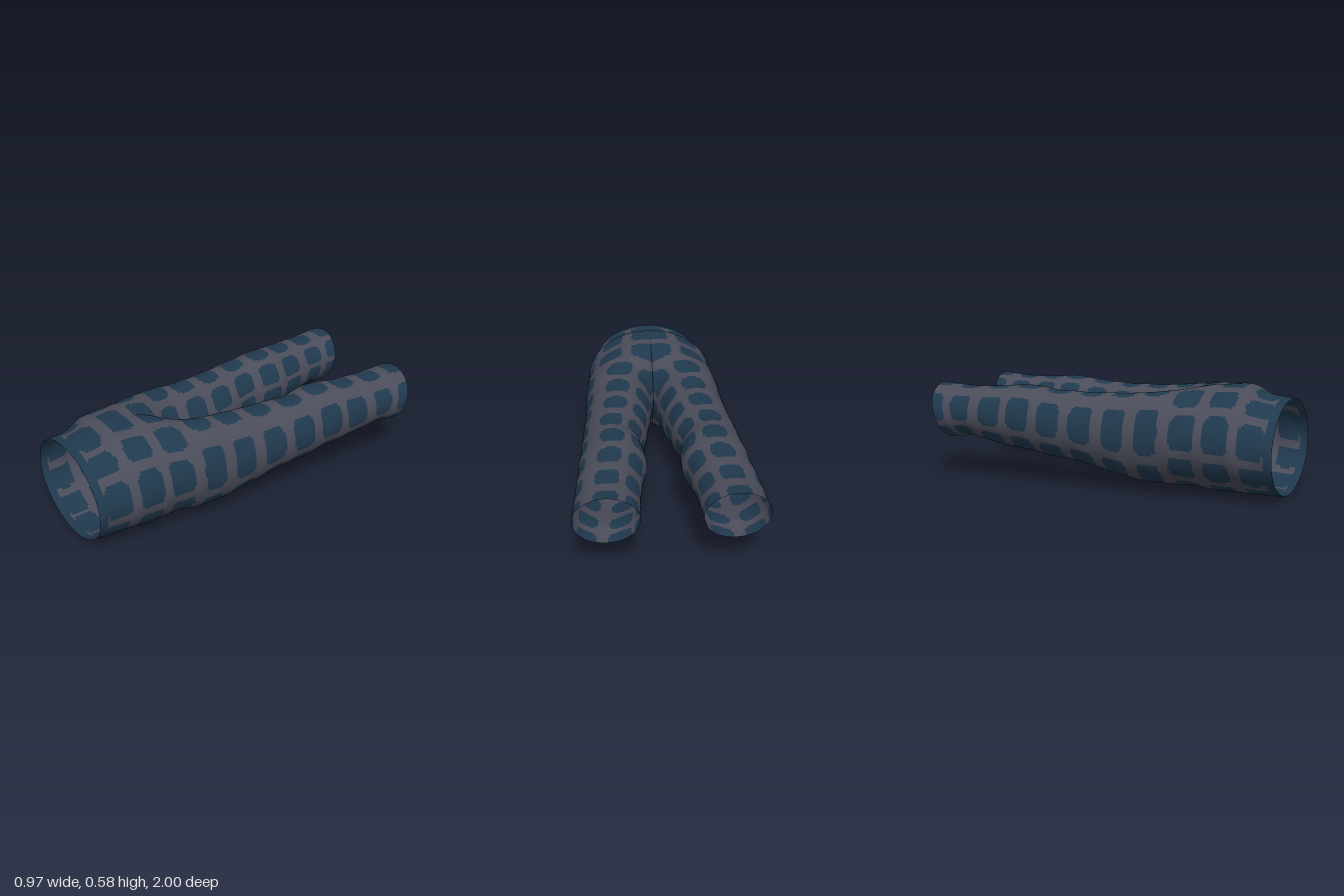
import * as THREE from 'three';

// Cross-sections from waist to hem: z, top y, bottom y, outer x, inner x.
// A negative inner x means that both sides merge at the centre line.
const SECTIONS = [
  [1.00, 0.525, 0.015, 0.335, -0.335],
  [0.87, 0.545, 0.010, 0.350, -0.350],
  [0.76, 0.588, 0.012, 0.380, -0.370],
  [0.62, 0.586, 0.022, 0.388, -0.300],
  [0.50, 0.570, 0.045, 0.395, -0.170],
  [0.42, 0.558, 0.052, 0.405, -0.070],
  [0.34, 0.548, 0.056, 0.405, 0.000],
  [0.20, 0.535, 0.070, 0.408, 0.022],
  [0.00, 0.526, 0.115, 0.418, 0.053],
  [-0.12, 0.527, 0.143, 0.426, 0.074],
  [-0.26, 0.533, 0.160, 0.434, 0.108],
  [-0.40, 0.548, 0.178, 0.442, 0.092],
  [-0.50, 0.548, 0.192, 0.450, 0.092],
  [-0.58, 0.540, 0.203, 0.455, 0.115],
  [-0.80, 0.531, 0.245, 0.470, 0.142],
  [-0.90, 0.535, 0.235, 0.476, 0.148],
  [-1.00, 0.542, 0.228, 0.482, 0.152],
];

// Patches as [centre, half width] in degrees around the body and around a leg
const HIP_PATCHES = [[90, 17], [53, 12], [12, 20], [-28, 13], [-60, 12], [-90, 14]];
const LEG_PATCHES = [[90, 20], [14, 30], [-50, 22], [-115, 22], [-168, 20], [145, 20]];
const HIP_ROWS = [0.89, 0.71, 0.53];
const LEG_ROWS = [0.335, 0.145, -0.04, -0.23, -0.42, -0.605, -0.80, -0.985];

const ROWS = 180, COLS = 110;

// Smooth interpolation through one column of the section table
function sample(z, col) {
  let i = 0;
  while (i < SECTIONS.length - 2 && z < SECTIONS[i + 1][0]) i++;
  const slope = k => {
    const a = SECTIONS[Math.max(0, k - 1)], b = SECTIONS[Math.min(SECTIONS.length - 1, k + 1)];
    return (b[col] - a[col]) / (b[0] - a[0]);
  };
  const a = SECTIONS[i], b = SECTIONS[i + 1], h = b[0] - a[0], t = (z - a[0]) / h;
  const t2 = t * t, t3 = t2 * t;
  return (2 * t3 - 3 * t2 + 1) * a[col] + (t3 - 2 * t2 + t) * h * slope(i)
    + (3 * t2 - 2 * t3) * b[col] + (t3 - t2) * h * slope(i + 1);
}

function surfacePoint(z, angle) {
  const top = sample(z, 1), bottom = sample(z, 2), outer = sample(z, 3), inner = sample(z, 4);
  // Shallow cloth folds, strongest behind the knee and under the hips
  const fold = 1 + 0.008 * Math.sin(z * 31 + 2 * angle) * Math.sin(3 * angle + z * 5);
  const c = Math.cos(angle), s = Math.sin(angle);
  const x = (outer + inner) / 2 + (outer - inner) / 2 * c * fold;
  const y = (top + bottom) / 2 + (top - bottom) / 2 * s * fold;
  // The hem is cut at a slant
  const slant = 0.08 * THREE.MathUtils.smoothstep(-z, 0.75, 1) * (1 - s) / 2;
  return [Math.max(0, x), Math.max(0, y), z + slant];
}

// True where the cloth carries a dark rounded patch
function isPatch(z, angle) {
  if (z > 0.955) return true; // waistband
  const hip = z > 0.43;
  let around = angle;
  if (hip) {
    const [x, y] = surfacePoint(z, angle);
    const top = sample(z, 1), bottom = sample(z, 2);
    around = Math.atan2((y - (top + bottom) / 2) / (top - bottom) * 2, x / sample(z, 3));
  }
  const degrees = THREE.MathUtils.radToDeg(around);
  return (hip ? HIP_ROWS : LEG_ROWS).some(row => (hip ? HIP_PATCHES : LEG_PATCHES).some(([centre, half]) => {
    const turn = ((degrees - centre + 540) % 360 + 360) % 360 - 180;
    const wobble = 0.006 * Math.sin(centre + row * 40);
    return ((z - row - wobble) / 0.066) ** 4 + (turn / half) ** 4 < 1;
  }));
}

// One side of the trousers; side is +1 for left and -1 for right
function sideGeometry(side) {
  const positions = [], plain = [], patches = [];
  const zAt = i => 1 - 2 * i / ROWS;
  const angleAt = j => Math.PI * 2 * j / COLS;
  for (let i = 0; i <= ROWS; i++) {
    for (let j = 0; j < COLS; j++) {
      const [x, y, z] = surfacePoint(zAt(i), angleAt(j));
      positions.push(x * side, y, z);
    }
  }
  for (let i = 0; i < ROWS; i++) {
    for (let j = 0; j < COLS; j++) {
      const k = (j + 1) % COLS;
      const a = i * COLS + j, b = i * COLS + k, c = a + COLS, d = b + COLS;
      // Leave the hips open at the centre line
      if ([a, b, c, d].every(v => Math.abs(positions[v * 3]) < 1e-6)) continue;
      const list = isPatch(zAt(i + 0.5), angleAt(j + 0.5)) ? patches : plain;
      if (side > 0) list.push(a, c, b, b, c, d);
      else list.push(a, b, c, b, d, c);
    }
  }
  const geometry = new THREE.BufferGeometry();
  geometry.setAttribute('position', new THREE.Float32BufferAttribute(positions, 3));
  geometry.setIndex([...plain, ...patches]);
  geometry.addGroup(0, plain.length, 0);
  geometry.addGroup(plain.length, patches.length, 1);
  geometry.computeVertexNormals();
  return geometry;
}

export function createModel() {
  const cloth = new THREE.MeshStandardMaterial({ color: 0x4a4c59, side: THREE.DoubleSide });
  cloth.name = 'greyCloth';
  const patch = new THREE.MeshStandardMaterial({ color: 0x20394e, side: THREE.DoubleSide });
  patch.name = 'bluePatch';

  const model = new THREE.Group();
  model.name = 'trousers';
  for (const [name, side] of [['leftHalf', 1], ['rightHalf', -1]]) {
    const mesh = new THREE.Mesh(sideGeometry(side), [cloth, patch]);
    mesh.name = name;
    model.add(mesh);
  }
  return model;
}
